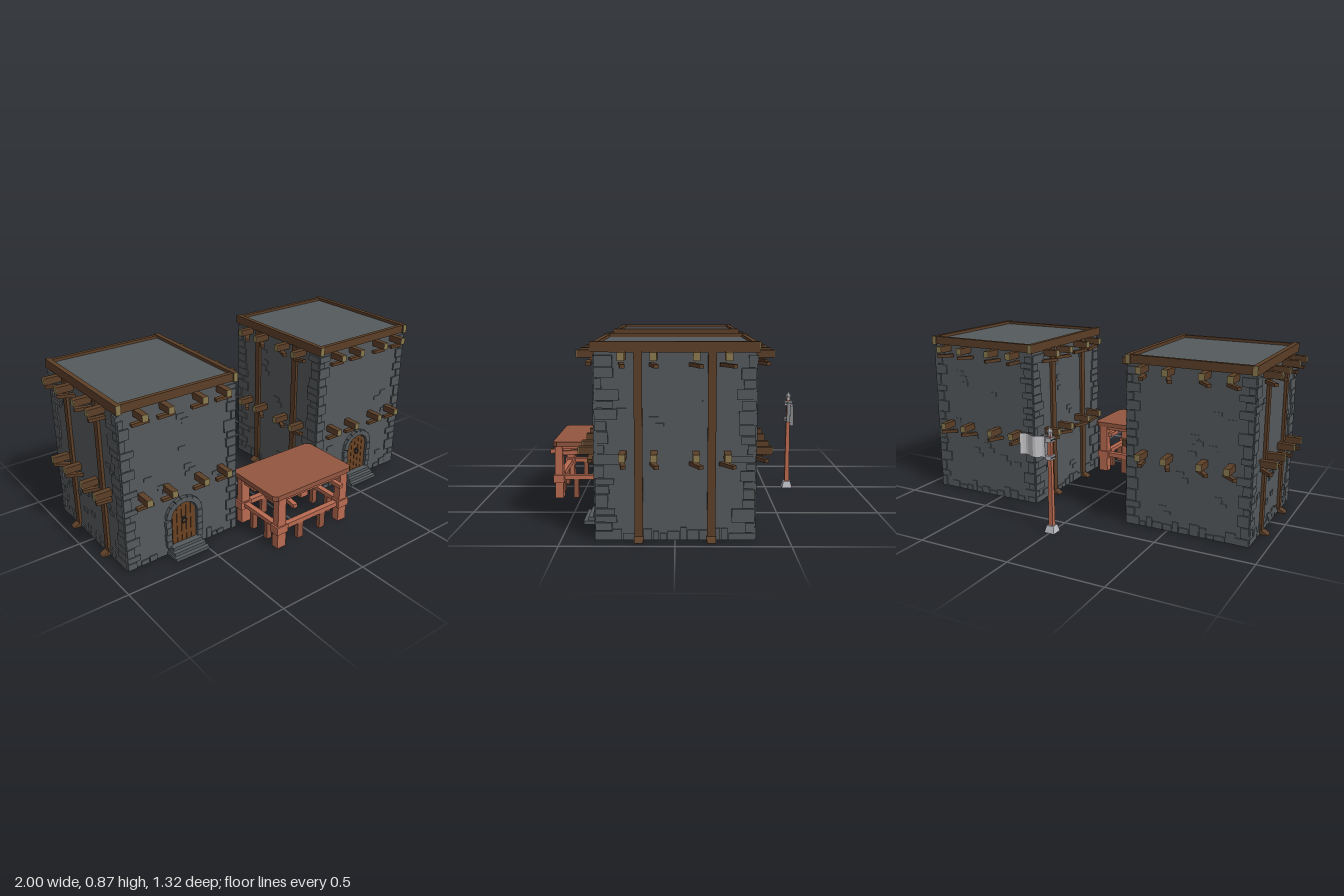
import * as THREE from 'three';
import { mergeGeometries } from 'three/addons/utils/BufferGeometryUtils.js';

const mat = (name, color, extra = {}) => {
  const m = new THREE.MeshStandardMaterial({ color, flatShading: true, ...extra });
  m.name = name;
  return m;
};
const M = {
  stone: mat('stone', 0x555a5d, { side: THREE.DoubleSide }),
  timber: mat('dark timber', 0x5c3f28),
  endGrain: mat('end grain', 0x8c7b50),
  door: mat('door wood', 0x6a4222),
  iron: mat('iron', 0x34373b),
  redWood: mat('red wood', 0xb96a50),
  tableWood: mat('table wood', 0x935640),
  steel: mat('pale metal', 0xbcbcc4),
  cloth: mat('cloth', 0xc6c6ca, { side: THREE.DoubleSide }),
};

const HW = 0.318, HD = 0.345, WALL_TOP = 0.855;

function add(parent, name, geo, material, x = 0, y = 0, z = 0) {
  const m = new THREE.Mesh(geo, material);
  m.name = name;
  m.position.set(x, y, z);
  parent.add(m);
  return m;
}
const box = (parent, name, material, w, h, d, x, y, z) =>
  add(parent, name, new THREE.BoxGeometry(w, h, d), material, x, y, z);

// square bar between two points
function bar(parent, name, material, a, b, w, t) {
  const p = new THREE.Vector3(...a), q = new THREE.Vector3(...b);
  const m = box(parent, name, material, w, t, p.distanceTo(q), 0, 0, 0);
  m.position.copy(p).lerp(q, 0.5);
  m.lookAt(q);
  return m;
}
// box whose top is scaled by k
function taperBox(w, h, d, k) {
  const g = new THREE.BoxGeometry(w, h, d), p = g.attributes.position;
  for (let i = 0; i < p.count; i++)
    if (p.getY(i) > 0) p.setXYZ(i, p.getX(i) * k, p.getY(i), p.getZ(i) * k);
  g.computeVertexNormals();
  return g;
}
function seeded(s) {
  return () => (s = (s * 16807) % 2147483647) / 2147483647;
}
function archShape(r, base, spring) {
  const s = new THREE.Shape();
  s.moveTo(-r, base);
  s.lineTo(r, base);
  s.lineTo(r, spring);
  s.absarc(0, spring, r, 0, Math.PI, false);
  s.lineTo(-r, base);
  return s;
}

// raised corner stones, footing and stray bricks on one wall (outside is +z)
function wallStones(side, w, d, rnd, long, hasDoor) {
  const parts = [];
  const stone = (x, y, sw, sh, t) => parts.push(
    new THREE.BoxGeometry(sw - 0.004, sh - 0.004, t).translate(x, y, d));
  for (const s of [-1, 1]) {
    let y = 0, n = rnd() > 0.5 ? 1 : 0;
    while (y < 0.79) {
      const h = Math.min(0.03 + rnd() * 0.035, 0.815 - y);
      const sw = (n++ % 2 ? 0.055 : 0.03) + rnd() * (long ? 0.06 : 0.025);
      stone(s * (w + 0.004 - sw / 2), y + h / 2, sw, h, 0.012 + rnd() * 0.006);
      y += h;
    }
  }
  for (let x = -w + 0.07; x < w - 0.09;) {
    const sw = 0.03 + rnd() * 0.03, h = 0.025 + rnd() * 0.04;
    if (!hasDoor || Math.abs(x + sw / 2) > 0.14) stone(x + sw / 2, h / 2, sw, h, 0.012);
    x += sw;
  }
  for (let i = 0; i < 9; i++) {
    const x = (rnd() - 0.5) * 1.4 * w, y = 0.1 + rnd() * 0.64;
    if (hasDoor && y < 0.36 && Math.abs(x) < 0.16) continue;
    stone(x, y, 0.045, 0.028, 0.007);
    if (i % 2) stone(x + 0.025, y - 0.028, 0.04, 0.028, 0.007);
  }
  add(side, 'raisedStones', mergeGeometries(parts), M.stone);
}

// two storeys of jutting beams with diagonal braces
function joists(side, d) {
  for (const y of [0.812, 0.383]) for (const x of [-0.225, -0.09, 0.09, 0.225]) {
    box(side, 'joist', M.timber, 0.03, 0.034, 0.083, x, y, d + 0.0415);
    box(side, 'joistEnd', M.endGrain, 0.03, 0.034, 0.003, x, y, d + 0.0845);
    bar(side, 'joistBrace', M.timber, [x, y - 0.068, d], [x, y - 0.012, d + 0.066], 0.022, 0.016);
  }
}

function wallPosts(side, d) {
  for (const x of [-0.158, 0.158]) {
    box(side, 'wallPost', M.timber, 0.036, 0.83, 0.016, x, 0.415, d + 0.006);
    const foot = new THREE.Shape([[0, 0], [0.046, 0], [0.04, 0.008], [0.012, 0.022], [0, 0.022]]
      .map(p => new THREE.Vector2(...p)));
    const g = new THREE.ExtrudeGeometry(foot, { depth: 0.04, bevelEnabled: false });
    g.translate(0, 0, -0.02).rotateY(-Math.PI / 2);
    add(side, 'postFoot', g, M.timber, x, 0, d);
  }
}

function doorway(side, d) {
  const g = new THREE.Group();
  g.name = 'doorway';
  g.position.z = d;
  side.add(g);
  const ext = (s, depth) => new THREE.ExtrudeGeometry(s, { depth, bevelEnabled: false, curveSegments: 10 });
  add(g, 'doorGap', ext(archShape(0.076, 0.045, 0.2), 0.006), M.iron, 0, 0, -0.003);
  // planks cut to follow the arch
  for (let i = 0; i < 5; i++) {
    const x0 = -0.066 + i * 0.0267, x1 = x0 + 0.0245;
    const top = x => 0.2 + Math.sqrt(Math.max(0, 0.0047 - x * x));
    const s = new THREE.Shape([[x0, 0.05], [x1, 0.05], [x1, top(x1)], [x0, top(x0)]]
      .map(p => new THREE.Vector2(...p)));
    add(g, 'doorPlank', ext(s, 0.007), M.door);
  }
  const ring = add(g, 'doorRing', new THREE.TorusGeometry(0.013, 0.004, 6, 12), M.iron, 0, 0.168, 0.012);
  box(ring, 'ringPlate', M.iron, 0.018, 0.014, 0.008, 0, 0.014, -0.003);
  // jamb stones and arch stones
  for (const s of [-1, 1]) for (let i = 0; i < 4; i++)
    box(g, 'jambStone', M.stone, 0.03, 0.036, 0.03, s * (0.088 + (i % 2) * 0.003), 0.063 + i * 0.038, 0.002);
  for (let i = 0; i < 9; i++) {
    const a = (i + 0.5) * Math.PI / 9;
    const m = box(g, 'archStone', M.stone, 0.029, 0.031, 0.032, Math.cos(a) * 0.088, 0.205 + Math.sin(a) * 0.082, 0.002);
    m.rotation.z = a;
  }
  // steps
  for (let i = 0; i < 3; i++)
    box(g, 'step', M.stone, 0.17 + i * 0.012, 0.017, 0.04 + i * 0.022, 0, 0.043 - i * 0.0172, 0.02 + i * 0.011);
}

function tower(x, seed) {
  const t = new THREE.Group();
  t.name = 'tower';
  t.position.x = x;
  const rnd = seeded(seed);
  // shell without a floor
  const shell = new THREE.BoxGeometry(2 * HW, WALL_TOP, 2 * HD);
  const idx = Array.from(shell.index.array);
  idx.splice(18, 6);
  shell.setIndex(idx);
  shell.clearGroups();
  add(t, 'towerShell', shell, M.stone, 0, WALL_TOP / 2, 0);
  for (let i = 0; i < 4; i++) {
    const long = i % 2 === 1, w = long ? HD : HW, d = long ? HW : HD;
    const side = new THREE.Group();
    side.name = ['frontWall', 'leftWall', 'backWall', 'rightWall'][i];
    side.rotation.y = i * Math.PI / 2;
    t.add(side);
    wallStones(side, w, d, rnd, long, i === 0);
    joists(side, d);
    if (long) wallPosts(side, d);
    if (i === 0) doorway(side, d);
  }
  // roof rim
  for (const s of [-1, 1]) {
    box(t, 'rimSideBeam', M.timber, 0.025, 0.046, 0.718, s * 0.315, 0.848, 0);
    for (const e of [-1, 1])
      box(t, 'rimBeamEnd', M.endGrain, 0.025, 0.046, 0.003, s * 0.315, 0.848, e * 0.3605);
    box(t, 'rimCrossBeam', M.timber, 0.605, 0.042, 0.022, 0, 0.848, s * 0.342);
  }
  return t;
}

function table() {
  const g = new THREE.Group();
  g.name = 'table';
  g.position.set(0.003, 0, 0.47);
  const s = new THREE.Shape(), a = 0.26, b = 0.172, c = 0.02;
  [[-a + c, -b], [a - c, -b], [a, -b + c], [a, b - c], [a - c, b], [-a + c, b], [-a, b - c], [-a, -b + c]]
    .forEach((p, i) => (i ? s.lineTo(...p) : s.moveTo(...p)));
  const top = new THREE.ExtrudeGeometry(s, { depth: 0.026, bevelEnabled: false }).rotateX(-Math.PI / 2);
  add(g, 'tableTop', top, M.tableWood, 0, 0.28, 0);
  const lx = 0.208, lz = 0.146;
  for (const sx of [-1, 1]) for (const sz of [-1, 1]) {
    const x = sx * lx, z = sz * lz;
    add(g, 'tableLeg', taperBox(0.054, 0.28, 0.044, 0.88), M.redWood, x, 0.14, z);
    box(g, 'legCollar', M.redWood, 0.07, 0.042, 0.056, x, 0.104, z);
    bar(g, 'legBrace', M.redWood, [x - sx * 0.015, 0.205, z], [x - sx * 0.1, 0.277, z], 0.024, 0.022);
    bar(g, 'legBrace', M.redWood, [x, 0.205, z - sz * 0.015], [x, 0.277, z - sz * 0.09], 0.024, 0.022);
    box(g, 'shortPost', M.tableWood, 0.036, 0.1, 0.024, sx * 0.075, 0.05, z);
    box(g, 'shortPost', M.tableWood, 0.03, 0.1, 0.026, x, 0.05, sz * 0.057);
  }
  for (const e of [-1, 1]) {
    box(g, 'longRail', M.redWood, 2 * lx, 0.026, 0.03, 0, 0.104, e * lz);
    box(g, 'shortRail', M.redWood, 0.03, 0.022, 2 * lz, e * lx, 0.108, 0);
    box(g, 'topRail', M.redWood, 2 * lx, 0.018, 0.03, 0, 0.272, e * lz);
    box(g, 'topSideRail', M.redWood, 0.03, 0.018, 2 * lz, e * lx, 0.272, 0);
  }
  return g;
}

function flagpole() {
  const g = new THREE.Group();
  g.name = 'flagpole';
  g.position.z = -0.62;
  add(g, 'poleBase', taperBox(0.056, 0.036, 0.056, 0.68), M.steel, 0, 0.018, 0);
  add(g, 'pole', taperBox(0.024, 0.47, 0.024, 0.75), M.redWood, 0, 0.27, 0);
  for (const y of [0.387, 0.476]) {
    box(g, 'flagBracket', M.steel, 0.032, 0.022, 0.042, 0, y, 0);
    box(g, 'bracketBand', M.iron, 0.036, 0.007, 0.034, 0, y, 0);
  }
  const tip = new THREE.LatheGeometry([[0, 0], [0.012, 0], [0.012, 0.012], [0.015, 0.022], [0, 0.046]]
    .map(p => new THREE.Vector2(...p)), 6);
  add(g, 'poleTip', tip, M.steel, 0, 0.494, 0);
  // rippled cloth
  const f = new THREE.PlaneGeometry(0.162, 0.108, 12, 1), p = f.attributes.position;
  for (let i = 0; i < p.count; i++) p.setZ(i, 0.012 * Math.sin((p.getX(i) + 0.081) * 60));
  f.computeVertexNormals();
  add(g, 'flag', f, M.cloth, 0.093, 0.43, 0);
  return g;
}

export function createModel() {
  const model = new THREE.Group();
  model.name = 'towersWithTable';
  model.add(tower(-0.596, 17), tower(0.596, 4711), table(), flagpole());
  return model;
}
